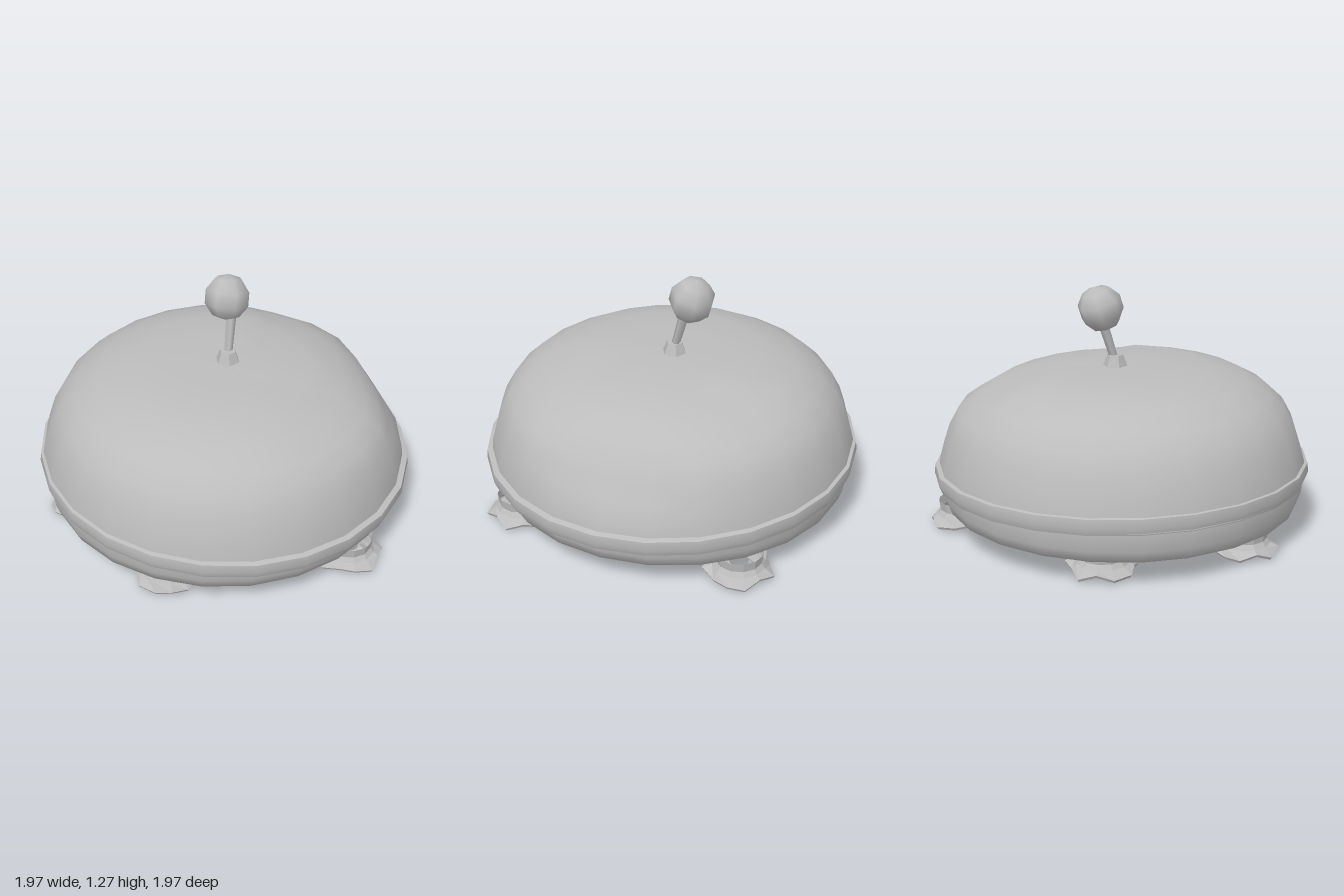
import * as THREE from 'three';
import { mergeVertices, toCreasedNormals } from 'three/addons/utils/BufferGeometryUtils.js';

const SIDES = 24;

// Revolve [radius, y] points, from bottom to top
function lathe(points, sides) {
  return new THREE.LatheGeometry(points.map(([r, y]) => new THREE.Vector2(r, y)), sides);
}

// Move every vertex by a rule
function reshape(geometry, rule) {
  const p = geometry.attributes.position;
  const v = new THREE.Vector3();
  for (let i = 0; i < p.count; i++) {
    v.fromBufferAttribute(p, i);
    rule(v);
    p.setXYZ(i, v.x, v.y, v.z);
  }
  geometry.computeVertexNormals();
  return geometry;
}

// Merge the seam and smooth everything but the sharp edges
function smooth(geometry, crease = 0.7) {
  geometry.deleteAttribute('uv');
  geometry.deleteAttribute('normal');
  return toCreasedNormals(mergeVertices(geometry, 1e-4), crease);
}

export function createModel() {
  const group = new THREE.Group();
  const grey = new THREE.MeshStandardMaterial({ name: 'grey', color: 0xbcbcbc, side: THREE.DoubleSide });

  function add(name, geometry, parent = group) {
    const mesh = new THREE.Mesh(geometry, grey);
    mesh.name = name;
    parent.add(mesh);
    return mesh;
  }

  // Dome, with a shallow battered hollow on its left side
  const dome = lathe([
    [0.965, 0.3], [0.955, 0.38], [0.93, 0.47], [0.9, 0.56], [0.85, 0.65],
    [0.77, 0.725], [0.65, 0.79], [0.46, 0.84], [0.22, 0.846], [0, 0.848],
  ], SIDES);
  reshape(dome, (v) => {
    const angle = Math.atan2(v.z + 0.05, v.x);
    const across = Math.max(0, 1 - (angle / 0.55) ** 2);
    const up = Math.max(0, 1 - ((v.y - 0.62) / 0.2) ** 2);
    v.x -= 0.06 * across * up;
    if (v.x > 0.3 && v.y > 0.7) v.y -= 0.02;
  });
  add('dome', smooth(dome));

  // Rim band, slightly tilted
  const rim = add('rim', smooth(lathe([
    [0.93, 0.25], [0.97, 0.262], [0.985, 0.3], [0.98, 0.345], [0.94, 0.355],
  ], SIDES), 0.9));
  rim.rotation.set(0.015, 0, -0.03);

  // Lower shell and flat underside
  add('lowerShell', smooth(lathe([
    [0, 0.125], [0.88, 0.123], [0.925, 0.145], [0.945, 0.2], [0.955, 0.29], [0.95, 0.33],
  ], SIDES), 0.8));

  // Ragged flared feet, hollow beneath
  const feet = [[-0.77, 0.02], [-0.38, 0.64], [0.56, 0.63], [0.6, -0.6], [-0.38, -0.61]];
  feet.forEach(([x, z], n) => {
    const foot = lathe([
      [0.05, 0.075], [0.1, 0.05], [0.165, 0.025], [0.172, 0.038],
      [0.135, 0.065], [0.118, 0.09], [0.125, 0.14],
    ], 12);
    reshape(foot, (v) => {
      const spoke = Math.round(Math.atan2(v.z, v.x) / (Math.PI / 6) + 12) % 12;
      if (v.y < 0.06) {
        const s = 1 + 0.09 * Math.sin(spoke * 2.6 + n);
        v.x *= s;
        v.z *= s;
        v.y += 0.018 * Math.sin(spoke * 3.9 + n * 2);
      }
    });
    const flat = foot.toNonIndexed();
    flat.computeVertexNormals();
    add('foot', flat).position.set(x, 0, z);
  });

  // Antenna: collar, leaning stem and faceted ball
  const collar = new THREE.CylinderGeometry(0.042, 0.072, 0.08, 6);
  add('antennaCollar', smooth(collar, 0.4)).position.set(0.03, 0.865, -0.02);

  const from = new THREE.Vector3(0.03, 0.87, -0.02);
  const to = new THREE.Vector3(0.06, 1.1, -0.09);
  const lean = new THREE.Quaternion().setFromUnitVectors(
    new THREE.Vector3(0, 1, 0), to.clone().sub(from).normalize());
  const stem = add('antennaStem', new THREE.CylinderGeometry(0.028, 0.022, from.distanceTo(to), 5));
  stem.position.copy(from).add(to).multiplyScalar(0.5);
  stem.quaternion.copy(lean);

  const ball = add('antennaBall', smooth(new THREE.SphereGeometry(0.12, 7, 5), 1.2));
  ball.position.set(0.043, 1.165, -0.12);
  ball.quaternion.copy(lean);

  return group;
}
